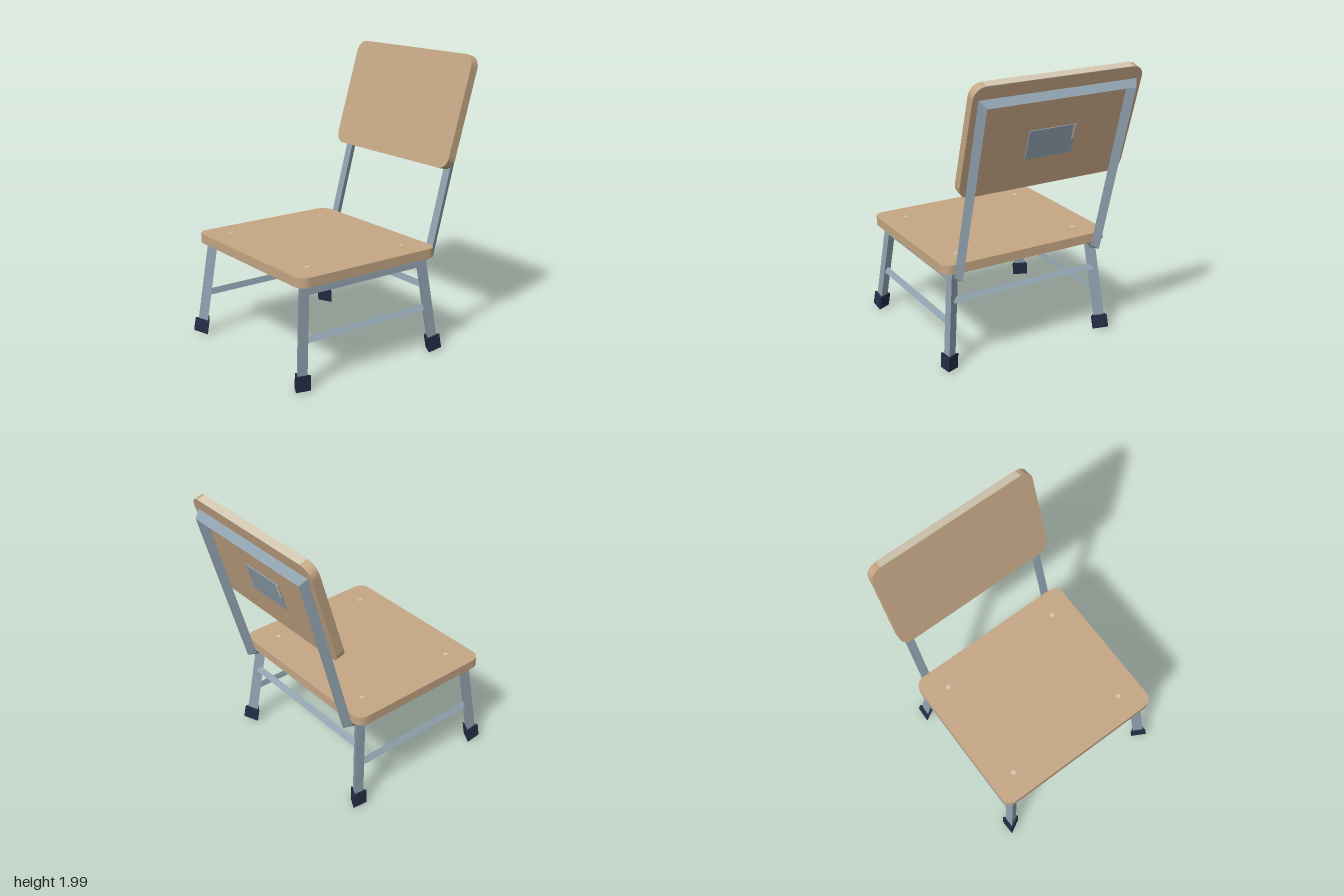
import * as THREE from 'three';

const V = (x, y, z) => new THREE.Vector3(x, y, z);

// Mitred bar of triangular section: flat face along n, ridge on the opposite side
function triangularBar(path, normal, width, depth, offset = 0) {
  const n = normal.clone().normalize();
  const section = [[-width / 2, offset], [0, offset - depth], [width / 2, offset]];
  const sides = [];
  for (let i = 0; i < path.length - 1; i++) {
    const t = path[i + 1].clone().sub(path[i]).normalize();
    sides.push(n.clone().cross(t).normalize());
  }
  const rings = path.map((p, i) => {
    const a = sides[Math.max(i - 1, 0)];
    const b = sides[Math.min(i, sides.length - 1)];
    const m = a.clone().add(b).normalize();
    m.divideScalar(m.dot(a));
    return section.map(([u, v]) => p.clone().addScaledVector(m, u).addScaledVector(n, v));
  });
  const out = [];
  const tri = (a, b, c) => [a, b, c].forEach(p => out.push(p.x, p.y, p.z));
  for (let i = 0; i < rings.length - 1; i++) {
    const r = rings[i], q = rings[i + 1];
    for (let k = 0; k < 3; k++) {
      const j = (k + 1) % 3;
      tri(r[k], r[j], q[j]);
      tri(r[k], q[j], q[k]);
    }
  }
  const first = rings[0], last = rings[rings.length - 1];
  tri(first[2], first[1], first[0]);
  tri(last[0], last[1], last[2]);
  const geo = new THREE.BufferGeometry();
  geo.setAttribute('position', new THREE.Float32BufferAttribute(out, 3));
  geo.computeVertexNormals();
  return geo;
}

// Board with rounded corners, extruded along z
function roundedBoard(x0, y0, x1, y1, r, thickness, segments) {
  const s = new THREE.Shape();
  s.moveTo(x0 + r, y0);
  s.lineTo(x1 - r, y0);
  s.absarc(x1 - r, y0 + r, r, -Math.PI / 2, 0);
  s.lineTo(x1, y1 - r);
  s.absarc(x1 - r, y1 - r, r, 0, Math.PI / 2);
  s.lineTo(x0 + r, y1);
  s.absarc(x0 + r, y1 - r, r, Math.PI / 2, Math.PI);
  s.lineTo(x0, y0 + r);
  s.absarc(x0 + r, y0 + r, r, Math.PI, Math.PI * 1.5);
  return new THREE.ExtrudeGeometry(s, { depth: thickness, bevelEnabled: false, curveSegments: segments });
}

export function createModel() {
  const material = (name, color) => {
    const m = new THREE.MeshStandardMaterial({ color });
    m.name = name;
    return m;
  };
  const wood = material('wood', 0xc4a684);
  const metal = material('metal', 0x8fa1ae);
  const rubber = material('rubber', 0x222d45);
  const cream = material('cream', 0xd2c6b0);

  const model = new THREE.Group();
  model.name = 'chair';
  const add = (name, geo, mat, parent = model) => {
    const mesh = new THREE.Mesh(geo, mat);
    mesh.name = name;
    parent.add(mesh);
    return mesh;
  };

  // Seat
  const seat = add('seat', roundedBoard(-0.71, -0.635, 0.4, 0.635, 0.075, 0.065, 4), wood);
  seat.rotation.x = -Math.PI / 2;
  seat.position.y = 0.685;

  // Seat screws
  for (const x of [-0.54, 0.23]) {
    for (const z of [-0.46, 0.46]) {
      add('seatScrew', new THREE.CylinderGeometry(0.017, 0.017, 0.006, 8), cream).position.set(x, 0.75, z);
    }
  }

  // Side frames: legs with rail, stretcher and feet
  for (const s of [1, -1]) {
    const side = new THREE.Group();
    side.name = s > 0 ? 'leftSideFrame' : 'rightSideFrame';
    model.add(side);
    const outward = V(0, 0.107, 0.994 * s);
    const legs = [
      V(-0.7, 0.05, 0.627 * s), V(-0.635, 0.648, 0.563 * s),
      V(0.325, 0.648, 0.563 * s), V(0.39, 0.05, 0.627 * s)
    ];
    add('legsAndRail', triangularBar(legs, outward, 0.075, 0.065), metal, side);

    const stretcher = [V(-0.665, 0.325, 0.58 * s), V(0.355, 0.325, 0.58 * s)];
    add('sideStretcher', triangularBar(stretcher, V(0, 1, s), 0.045, 0.039), metal, side);

    for (const [bottom, top] of [[legs[0], legs[1]], [legs[3], legs[2]]]) {
      const dir = top.clone().sub(bottom).normalize();
      const foot = [bottom.clone().addScaledVector(dir, -0.034), bottom.clone().addScaledVector(dir, 0.064)];
      add('foot', triangularBar(foot, outward, 0.113, 0.098, 0.012), rubber, side);
    }

    // Bracket joining the upright to the seat
    const bracket = [V(0.33, 0.672, 0.533 * s), V(0.425, 0.7, 0.533 * s)];
    add('backBracket', triangularBar(bracket, V(-0.29, 0.957, 0), 0.064, 0.055), metal, side);
  }

  // Rear stretcher
  add('rearStretcher', triangularBar([V(0.36, 0.484, 0.55), V(0.36, 0.484, -0.55)], V(1, 1, 0), 0.046, 0.04), metal);

  // Back frame: two uprights and top bar
  const backPath = [V(0.4, 0.665, 0.533), V(0.727, 1.869, 0.533), V(0.727, 1.869, -0.533), V(0.4, 0.665, -0.533)];
  add('backFrame', triangularBar(backPath, V(-0.965, 0.262, 0), 0.064, 0.055), metal);

  // Backrest, leaning back; local x across, y up the board, z to its sitting face
  const back = new THREE.Group();
  back.name = 'backrest';
  const across = V(0, 0, 1), up = V(0.285, 0.959, 0).normalize();
  back.quaternion.setFromRotationMatrix(new THREE.Matrix4().makeBasis(across, up, across.clone().cross(up)));
  back.position.set(0.54, 1.243, 0);
  model.add(back);
  add('backBoard', roundedBoard(-0.605, 0, 0.605, 0.772, 0.08, 0.06, 3), wood, back);
  add('topEdge', new THREE.BoxGeometry(1.05, 0.004, 0.06), cream, back).position.set(0, 0.772, 0.03);
  add('backPlate', new THREE.BoxGeometry(0.34, 0.203, 0.006), metal, back).position.set(0, 0.317, -0.003);
  add('plateMark', new THREE.BoxGeometry(0.016, 0.1, 0.006), cream, back).position.set(-0.159, 0.367, -0.005);

  return model;
}
